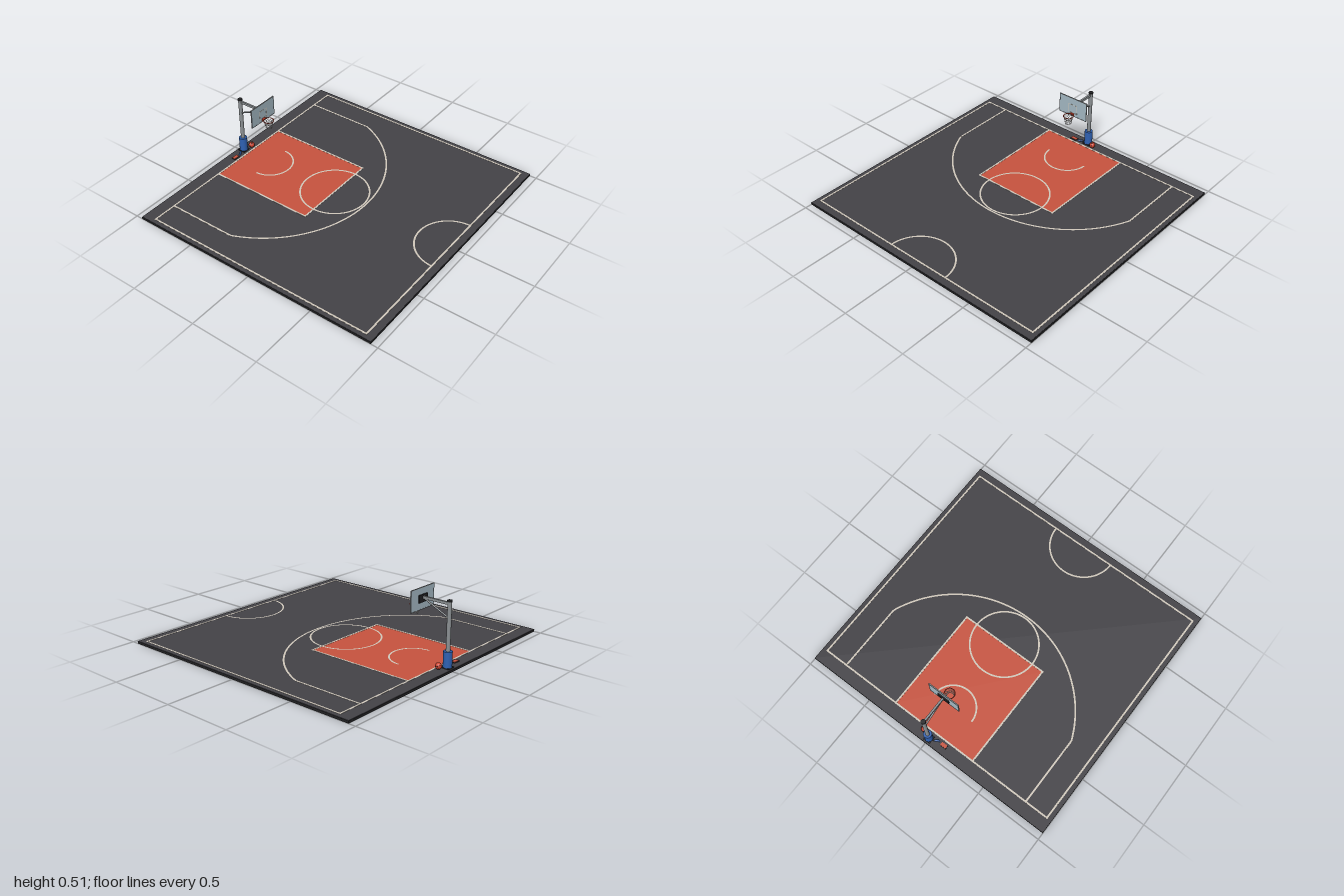
import * as THREE from 'three';

const mat = (name, color, side = THREE.FrontSide) => {
  const m = new THREE.MeshStandardMaterial({ color, side });
  m.name = name;
  return m;
};

export function createModel() {
  const dark = mat('dark rubber', 0x222224);
  const asphalt = mat('asphalt', 0x444348);
  const orange = mat('court orange', 0xc9543f);
  const white = mat('line white', 0xd2cabd);
  const steel = mat('steel', 0x8c9194);
  const blue = mat('pad blue', 0x2f62b4);
  const glass = mat('board glass', 0xa6bbc6);
  const red = mat('rim red', 0xc8402c);
  const netWhite = mat('net white', 0xe2e0dc);

  const model = new THREE.Group();
  model.name = 'basketballCourt';
  const add = (name, geo, material, x = 0, y = 0, z = 0, parent = model) => {
    const mesh = new THREE.Mesh(geo, material);
    mesh.name = name;
    mesh.position.set(x, y, z);
    parent.add(mesh);
    return mesh;
  };
  const box = (name, w, h, d, material, x, y, z, parent) =>
    add(name, new THREE.BoxGeometry(w, h, d), material, x, y, z, parent);
  // Cylinder spanning two points
  const rod = (name, a, b, r, material, parent) => {
    const from = new THREE.Vector3(...a), to = new THREE.Vector3(...b);
    const dir = to.clone().sub(from);
    const mesh = add(name, new THREE.CylinderGeometry(r, r, dir.length(), 20), material, 0, 0, 0, parent);
    mesh.position.copy(from).add(to).multiplyScalar(0.5);
    mesh.quaternion.setFromUnitVectors(new THREE.Vector3(0, 1, 0), dir.normalize());
    return mesh;
  };

  // Floor: dark base, asphalt surface, painted key
  const floorY = 0.018, base = -0.855, hoopZ = -0.645, keyZ = -0.06, midZ = 0.893;
  box('floorBase', 2, 0.016, 1.9, dark, 0, 0.008, 0);
  box('floorSurface', 1.996, 0.002, 1.896, asphalt, 0, 0.017, 0);
  box('paintedKey', 0.674, 0.001, keyZ - base, orange, 0, floorY + 0.0003, (base + keyZ) / 2);

  // Court markings
  const lw = 0.012, lineY = floorY + 0.0018;
  const markings = new THREE.Group();
  markings.name = 'markings';
  model.add(markings);
  const lineX = (name, len, z) => box(name, len, 0.001, lw, white, 0, lineY - 0.0005, z, markings);
  const lineZ = (name, x, z0, z1) => box(name, lw, 0.001, z1 - z0, white, x, lineY - 0.0005, (z0 + z1) / 2, markings);
  const arc = (name, r, z, start, length) => add(name,
    new THREE.RingGeometry(r - lw / 2, r + lw / 2, 96, 1, start, length).rotateX(-Math.PI / 2),
    white, 0, lineY + 0.0003, z, markings);
  lineX('baseline', 1.938, base);
  lineX('halfwayLine', 1.938, midZ);
  lineX('freeThrowLine', 0.686, keyZ);
  const cornerX = 0.787, threeR = 0.845, cut = Math.acos(cornerX / threeR);
  for (const s of [-1, 1]) {
    lineZ('sideline', s * 0.963, base, midZ);
    lineZ('keyLine', s * 0.337, base, keyZ);
    lineZ('cornerThreeLine', s * cornerX, base, hoopZ + threeR * Math.sin(cut));
  }
  arc('threePointArc', threeR, hoopZ, Math.PI + cut, Math.PI - 2 * cut);
  arc('restrictedArc', 0.163, hoopZ, Math.PI, Math.PI);
  arc('freeThrowCircle', 0.245, keyZ, 0, Math.PI * 2);
  arc('centreCircle', 0.245, midZ, 0, Math.PI);

  // Post with padding, cap, arm and brace
  const poleZ = -0.908;
  box('postFoot', 0.06, 0.006, 0.06, dark, 0, floorY + 0.003, poleZ);
  rod('post', [0, floorY, poleZ], [0, 0.458, poleZ], 0.0145, steel);
  rod('postCap', [0, 0.456, poleZ], [0, 0.466, poleZ], 0.017, dark);
  rod('postPad', [0, 0.024, poleZ], [0, 0.13, poleZ], 0.03, blue);
  box('arm', 0.014, 0.018, 0.2, steel, 0, 0.443, -0.807);
  rod('armBrace', [0, 0.346, poleZ], [0, 0.434, -0.72], 0.0055, steel);
  box('boardMount', 0.09, 0.052, 0.008, dark, 0, 0.437, -0.705);

  // Backboard with frame and target square
  const boardZ = -0.697, boardY = 0.435, bw = 0.24, bh = 0.146;
  box('backboard', bw, bh, 0.006, glass, 0, boardY, boardZ);
  const frame = (name, w, h, t, d, y, z, material) => {
    for (const s of [-1, 1]) {
      box(name, w, t, d, material, 0, y + s * (h - t) / 2, z);
      box(name, t, h, d, material, s * (w - t) / 2, y, z);
    }
  };
  frame('boardFrame', bw + 0.002, bh + 0.002, 0.004, 0.008, boardY, boardZ, steel);
  frame('targetSquare', 0.076, 0.07, 0.004, 0.001, 0.42, boardZ + 0.0036, white);

  // Hoop and net
  const rimY = 0.384, rimR = 0.036;
  add('rim', new THREE.TorusGeometry(rimR, 0.003, 10, 40).rotateX(Math.PI / 2), red, 0, rimY, hoopZ);
  box('rimBracket', 0.026, 0.005, 0.014, red, 0, rimY, -0.687);
  box('rimPlate', 0.03, 0.022, 0.004, red, 0, rimY - 0.007, -0.692);
  const net = new THREE.Group();
  net.name = 'net';
  net.position.set(0, rimY, hoopZ);
  model.add(net);
  const strands = 10;
  for (let i = 0; i < strands; i++) for (const s of [-1, 1]) {
    const pts = [];
    for (let k = 0; k <= 8; k++) {
      const t = k / 8, a = (i / strands) * Math.PI * 2 + s * t * Math.PI * 0.6;
      const r = rimR - 0.014 * Math.pow(t, 0.8);
      pts.push(new THREE.Vector3(Math.cos(a) * r, -0.06 * t, Math.sin(a) * r));
    }
    add('netStrand', new THREE.TubeGeometry(new THREE.CatmullRomCurve3(pts), 14, 0.0011, 5), netWhite, 0, 0, 0, net);
  }
  add('netHem', new THREE.TorusGeometry(0.022, 0.0011, 5, 30).rotateX(Math.PI / 2), netWhite, 0, -0.06, 0, net);

  // Ball with seams
  const ball = new THREE.Group();
  ball.name = 'ball';
  ball.position.set(0.059, floorY + 0.022, -0.881);
  ball.rotation.set(0.3, 0.4, 0.2);
  model.add(ball);
  add('ballSkin', new THREE.SphereGeometry(0.022, 28, 20), red, 0, 0, 0, ball);
  for (const [rx, ry] of [[0, 0], [Math.PI / 2, 0], [0, Math.PI / 2]])
    add('ballSeam', new THREE.TorusGeometry(0.0218, 0.0009, 6, 36), dark, 0, 0, 0, ball).rotation.set(rx, ry, 0);

  // Drink bottle lying on the floor
  const by = floorY + 0.007;
  rod('bottle', [-0.076, by, -0.88], [-0.044, by, -0.899], 0.007, blue);
  rod('bottleCap', [-0.044, by, -0.899], [-0.036, by, -0.904], 0.005, dark);

  // Folded towel on a dark mat
  box('towelMat', 0.05, 0.005, 0.03, dark, -0.115, floorY + 0.0025, -0.888);
  box('towel', 0.046, 0.003, 0.026, orange, -0.115, floorY + 0.0065, -0.888);
  return model;
}
